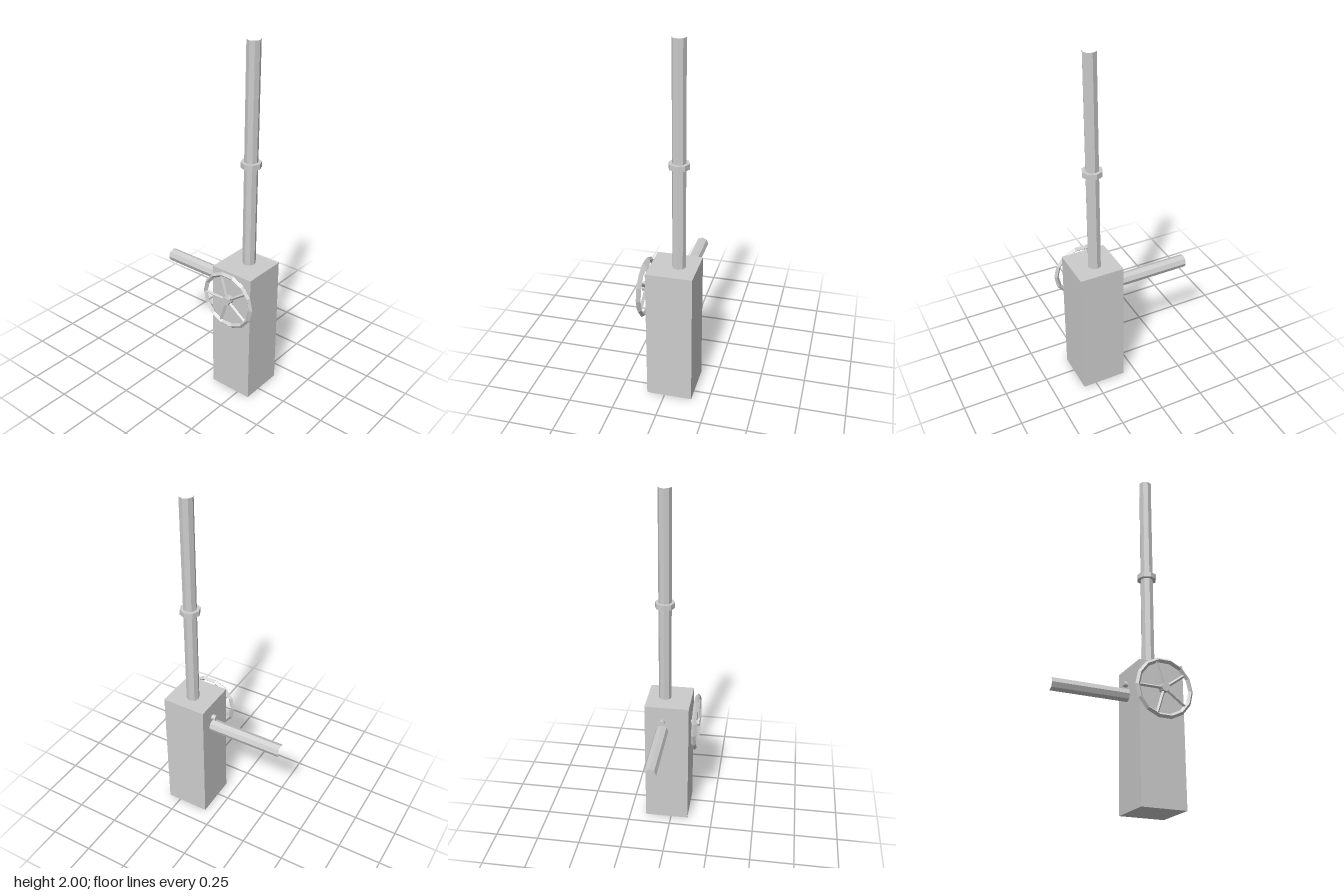
import * as THREE from 'three';

export function createModel() {
  const model = new THREE.Group();
  model.name = 'valveStation';
  const metal = new THREE.MeshStandardMaterial({ color: 0xcccccc, flatShading: true });
  metal.name = 'grey metal';

  const add = (name, geometry, x, y, z, parent = model) => {
    const mesh = new THREE.Mesh(geometry, metal);
    mesh.name = name;
    mesh.position.set(x, y, z);
    parent.add(mesh);
    return mesh;
  };
  const cylinder = (r, length, sides, open = false) =>
    new THREE.CylinderGeometry(r, r, length, sides, 1, open);

  const cx = 0.197, pipeZ = -0.053, axisY = 0.617;

  // Cabinet
  add('cabinet', new THREE.BoxGeometry(0.255, 0.77, 0.255), cx, 0.385, -0.027);

  // Open-ended octagonal pipes, with a collar on the upright one
  add('uprightPipe', cylinder(0.037, 1.23, 8, true), cx, 1.385, pipeZ);
  add('pipeCollar', cylinder(0.056, 0.03, 8), cx, 1.352, pipeZ);
  add('sidePipe', cylinder(0.037, 0.437, 8, true).rotateZ(Math.PI / 2), -0.1485, axisY, pipeZ);

  // Small stud on the cabinet wall above the side pipe
  add('wallStud', cylinder(0.0155, 0.025, 8).rotateY(Math.PI / 8).rotateZ(Math.PI / 2),
    0.0575, 0.678, pipeZ);

  // Handwheel: faceted rim, hub, shaft and five spokes
  const wheel = new THREE.Group();
  wheel.name = 'handwheel';
  wheel.position.set(cx, axisY, 0.132);
  model.add(wheel);
  add('rim', new THREE.TorusGeometry(0.154, 0.0135, 4, 14), 0, 0, 0, wheel);
  add('hub', cylinder(0.025, 0.04, 8).rotateX(Math.PI / 2), 0, 0, 0, wheel);
  add('shaft', cylinder(0.01, 0.04, 8).rotateX(Math.PI / 2), 0, 0, -0.03, wheel);
  for (let i = 0; i < 5; i++) {
    const angle = Math.PI + (i * Math.PI * 2) / 5;
    const spoke = add('spoke', cylinder(0.009, 0.135, 4, true),
      Math.cos(angle) * 0.0825, Math.sin(angle) * 0.0825, 0, wheel);
    spoke.rotation.z = angle - Math.PI / 2;
  }
  return model;
}
